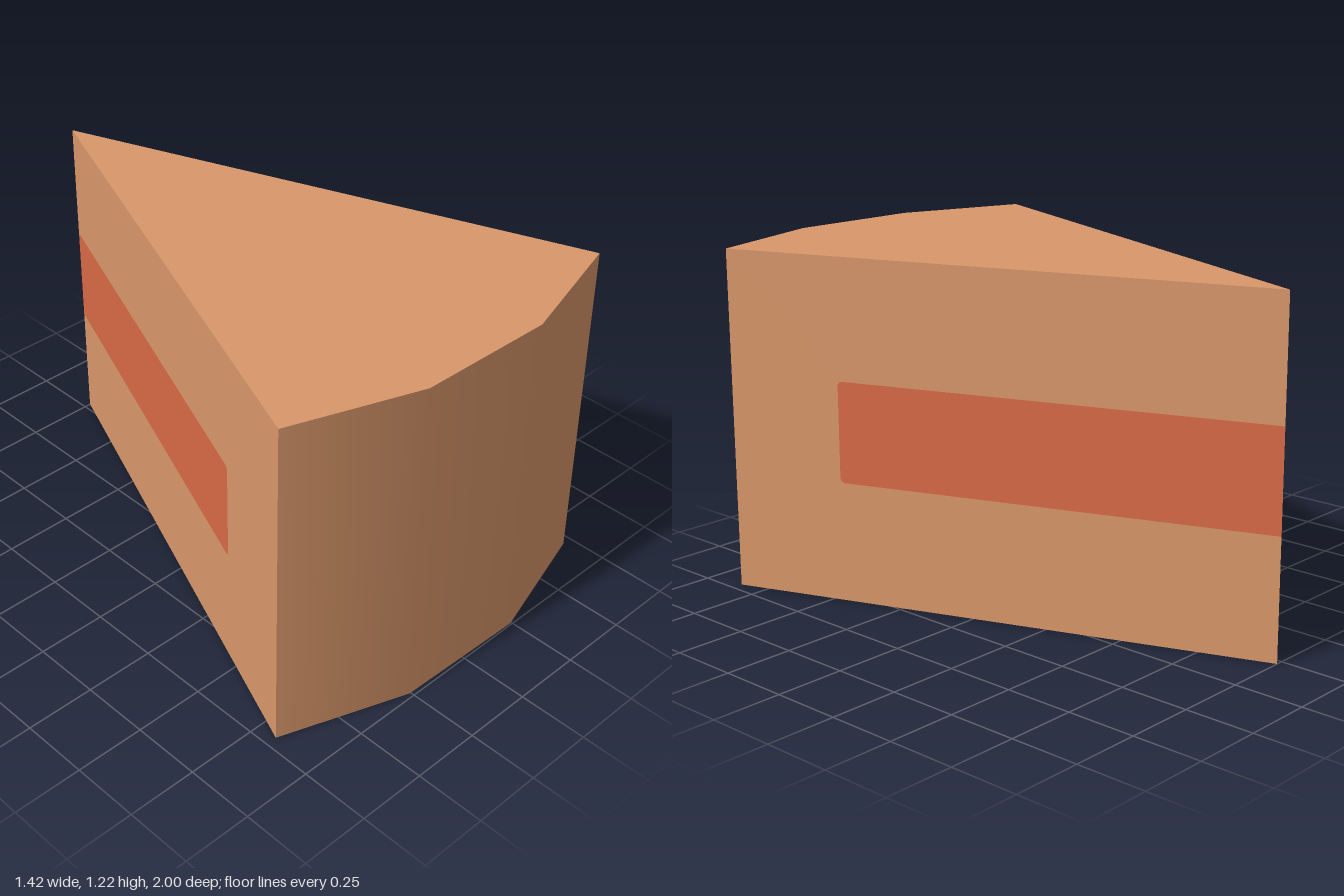
import * as THREE from 'three';

const H = 1.22;
const TIP = [0.025, -1];
// outer curved edge, right hand end of the front view last: [x, z]
const ARC = [[-0.71, 0.825], [-0.255, 0.985], [0.245, 0.995], [0.71, 0.855]];
const FILL = { low: 0.43, high: 0.79, reach: 0.79, round: 0.015 };

const sponge = new THREE.MeshStandardMaterial({ color: 0xd9976a });
sponge.name = 'sponge';
const filling = new THREE.MeshStandardMaterial({ color: 0xd96a45 });
filling.name = 'filling';

function part(name, geometry, material) {
  const mesh = new THREE.Mesh(geometry, material);
  mesh.name = name;
  return mesh;
}

// Flat wedge outline, facing up (sign 1) or down (sign -1)
function cap(sign) {
  const points = [TIP, ...ARC].map(([x, z]) => new THREE.Vector2(x, -sign * z));
  return new THREE.ShapeGeometry(new THREE.Shape(points)).rotateX(-sign * Math.PI / 2);
}

// Curved outer wall with smooth radial normals
function outerWall() {
  const geometry = new THREE.PlaneGeometry(1, 1, ARC.length - 1, 1);
  const { position, normal } = geometry.attributes;
  for (let i = 0; i < position.count; i++) {
    const [x, z] = ARC[i % ARC.length];
    position.setXYZ(i, x, i < ARC.length ? H : 0, z);
    const n = new THREE.Vector3(x - TIP[0], 0, z - TIP[1]).normalize();
    normal.setXYZ(i, n.x, n.y, n.z);
  }
  return geometry;
}

// Cut face running from the tip to a corner, with its band of filling set flush
function cutFace(name, corner, s) {
  const dx = corner[0] - TIP[0], dz = corner[1] - TIP[1];
  const length = Math.hypot(dx, dz);
  const { low, high, reach, round: r } = FILL;
  const end = length * reach;
  const band = [[0, low], [end - r, low], [end - r * 0.3, low + r * 0.3], [end, low + r],
    [end, high - r], [end - r * 0.3, high - r * 0.3], [end - r, high], [0, high]];
  const rim = [[0, 0], [length, 0], [length, H], [0, H], ...[...band].reverse()];
  const flat = (points) => new THREE.ShapeGeometry(
    new THREE.Shape(points.map(([u, y]) => new THREE.Vector2(s * u, y))));

  const face = new THREE.Group();
  face.name = name;
  face.add(part('spongeSide', flat(rim), sponge), part('fillingBand', flat(band), filling));
  face.position.set(TIP[0], 0, TIP[1]);
  face.rotation.y = Math.atan2(-dz * s, dx * s);
  return face;
}

export function createModel() {
  const slice = new THREE.Group();
  slice.name = 'cakeSlice';
  const top = part('top', cap(1), sponge);
  top.position.y = H;
  slice.add(
    top,
    part('base', cap(-1), sponge),
    part('outerWall', outerWall(), sponge),
    cutFace('leftCutFace', ARC[3], -1),
    cutFace('rightCutFace', ARC[0], 1),
  );
  return slice;
}
